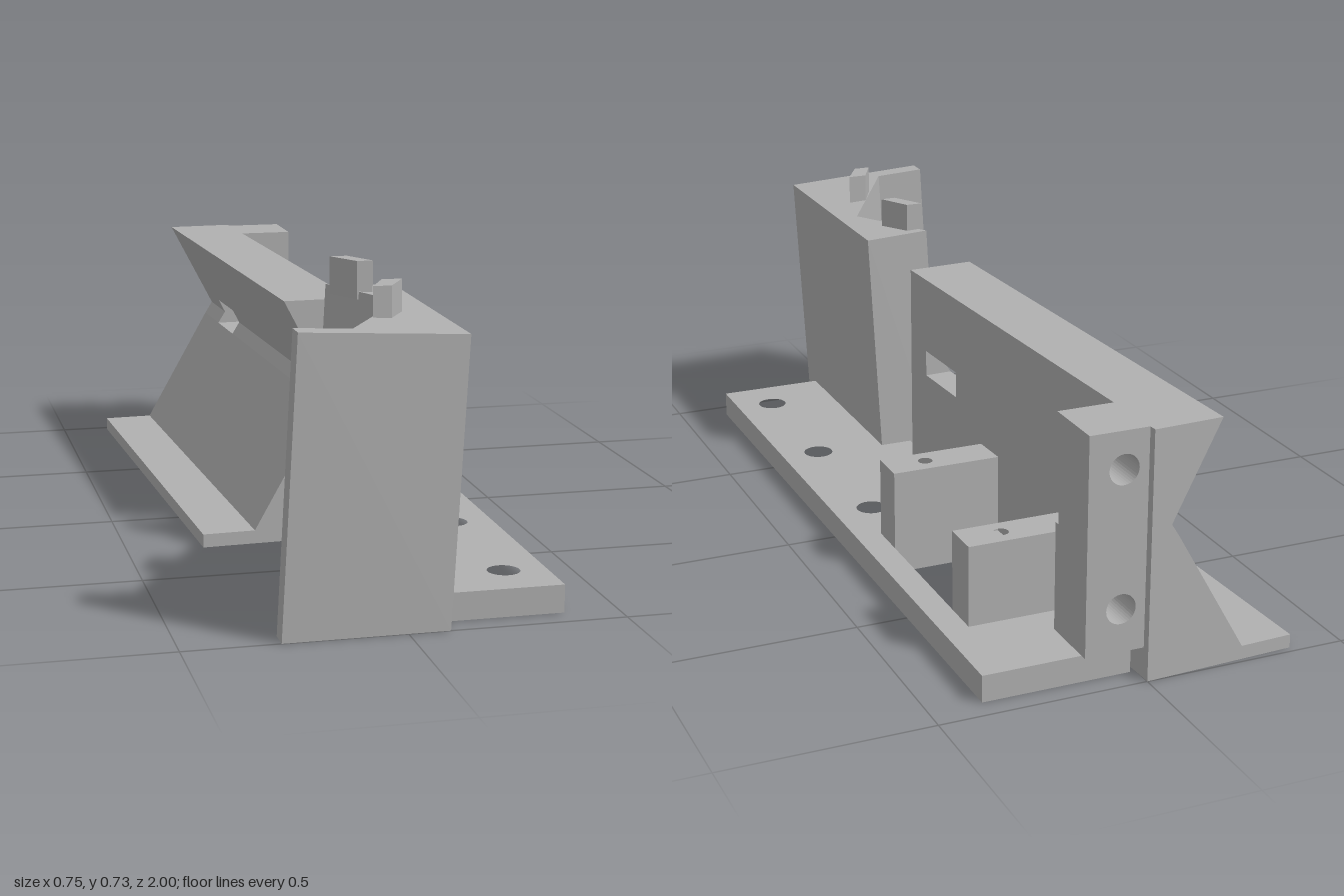
import * as THREE from 'three';

const grey = new THREE.MeshStandardMaterial({ color: 0xb0b0b0 });
grey.name = 'plain grey';

// Closed outline with optional round holes [x, y, r] and polygon cutouts
function outline(points, circles = [], cutouts = []) {
  const shape = new THREE.Shape(points.map(([x, y]) => new THREE.Vector2(x, y)));
  for (const [x, y, r] of circles) {
    shape.holes.push(new THREE.Path().absarc(x, y, r, 0, Math.PI * 2, true));
  }
  for (const c of cutouts) {
    shape.holes.push(new THREE.Path(c.map(([x, y]) => new THREE.Vector2(x, y))));
  }
  return shape;
}

function rect(x0, x1, y0, y1) {
  return [[x0, y0], [x1, y0], [x1, y1], [x0, y1]];
}

function extrude(shape, depth) {
  return new THREE.ExtrudeGeometry(shape, { depth, bevelEnabled: false, curveSegments: 20 });
}

// Plan outline in (x, z), raised from y0 to y1
function prism(points, y0, y1, circles = [], cutouts = []) {
  const flip = (list) => list.map(([x, z]) => [x, -z]);
  const shape = outline(flip(points), circles.map(([x, z, r]) => [x, -z, r]), cutouts.map(flip));
  return extrude(shape, y1 - y0).rotateX(-Math.PI / 2).translate(0, y0, 0);
}

export function createModel() {
  const model = new THREE.Group();
  model.name = 'bracket';
  const add = (name, geometry, parent = model) => {
    const mesh = new THREE.Mesh(geometry, grey);
    mesh.name = name;
    parent.add(mesh);
    return mesh;
  };

  // Base plate with three screw holes and a rectangular opening
  add('basePlate', prism(rect(0.015, 0.375, -0.945, 0.94), 0, 0.065,
    [0, 0.41, 0.81].map((z) => [0.275, z, 0.038]),
    [rect(0.11, 0.31, -0.625, -0.255)]));

  // Long wall: V-grooved section, split along its length around two windows
  const wall = new THREE.Group();
  wall.name = 'grooveWall';
  wall.position.set(0, 0, -1);
  wall.rotation.y = 0.0477;
  model.add(wall);
  const lower = [[0, 0], [-0.375, 0], [-0.375, 0.033], [-0.245, 0.033], [-0.07, 0.338]];
  const upper = [[-0.068, 0.405], [-0.17, 0.6], [0, 0.6]];
  const full = outline([...lower, [-0.05, 0.37], ...upper]);
  const sill = outline([...lower, [0, 0.338]]);
  const lintel = outline([...upper, [0, 0.405]]);
  const stops = [0, 0.165, 0.335, 0.985, 1.165, 1.258];
  for (let i = 0; i < stops.length - 1; i++) {
    const length = stops[i + 1] - stops[i];
    const parts = i % 2 ? { windowSill: sill, windowLintel: lintel } : { wallSection: full };
    for (const [name, shape] of Object.entries(parts)) {
      add(name, extrude(shape, length).translate(0, 0, stops[i]), wall);
    }
  }

  // Corner post: drilled rear, solid core, notched front layer
  const post = rect(-0.01, 0.145, 0.075, 0.6);
  const drilled = outline(post, [[0.06, 0.51, 0.036], [0.06, 0.18, 0.036]]);
  add('postRear', extrude(drilled, 0.11).translate(0, 0, -0.98));
  add('postCore', extrude(outline(post), 0.035).translate(0, 0, -0.87));
  for (const [y0, y1] of [[0.075, 0.338], [0.405, 0.6]]) {
    add('postFront', extrude(outline(rect(-0.01, 0.145, y0, y1)), 0.014).translate(0, 0, -0.835));
  }

  // Two mounting blocks with small pilot holes
  for (const z of [-0.21, -0.67]) {
    const plan = rect(0.01, 0.31, z - 0.048, z + 0.048);
    add('mountingBlock', prism(plan, 0, 0.17));
    add('mountingBlockTop', prism(plan, 0.17, 0.263, [[0.21, z, 0.018]]));
  }

  // Upright V-block, leaning sideways with a flat foot and a tilted top
  const lean = 0.053;
  const vBlock = prism([[0.095, 1], [-0.28, 1], [-0.28, 0.95], [-0.15, 0.95],
    [0.043, 0.61], [-0.072, 0.387], [0.095, 0.387]], 0, 1);
  const p = vBlock.attributes.position;
  for (let i = 0; i < p.count; i++) {
    const x = p.getX(i);
    const y = p.getY(i) * (0.657 - lean * x);
    p.setXYZ(i, x + lean * y, y, p.getZ(i));
  }
  vBlock.computeVertexNormals();
  add('uprightVBlock', vBlock);

  // Stop pegs following the two faces of the upright groove
  add('frontPeg', prism([[0.003, 0.742], [0.05, 0.742], [0.005, 0.822], [-0.037, 0.822]], 0.64, 0.73));
  add('rearPeg', prism([[-0.033, 0.412], [0.008, 0.412], [0.05, 0.492], [0.012, 0.492]], 0.64, 0.73));

  return model;
}
